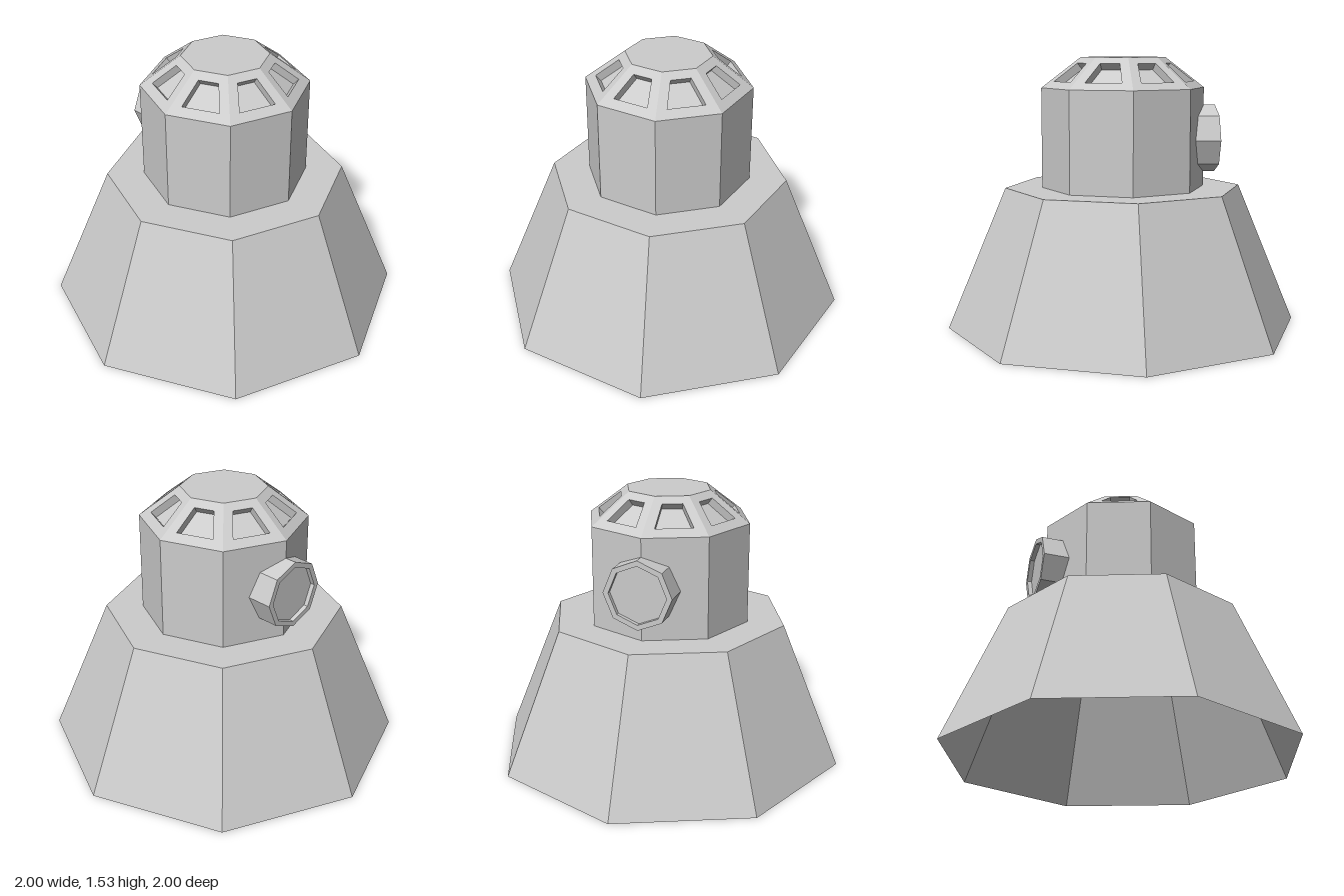
import * as THREE from 'three';

const SIDES = 8;
const material = new THREE.MeshStandardMaterial({ color: 0xcccccc, flatShading: true, side: THREE.DoubleSide });

function addMesh(parent, name, geometry) {
  const mesh = new THREE.Mesh(geometry, material);
  mesh.name = name;
  parent.add(mesh);
  return mesh;
}

// Eight-sided shell from [radius, height] pairs listed upwards
function octagonShell(profile) {
  return new THREE.LatheGeometry(profile.map(([r, y]) => new THREE.Vector2(r, y)), SIDES);
}

// Geometry from quads, each with corners counter-clockwise from its front
function quadGeometry(quads) {
  const points = quads.flatMap(([a, b, c, d]) => [a, b, c, a, c, d]);
  const geometry = new THREE.BufferGeometry().setFromPoints(points);
  geometry.computeVertexNormals();
  return geometry;
}

// One sloping roof panel facing +z, with a recessed window
function roofPanel() {
  const low = { r: 0.46, y: 1.36 }, high = { r: 0.238, y: 1.53 };
  const half = Math.PI / SIDES;
  const depth = 0.045;
  const inward = new THREE.Vector3(0, -0.766, -0.643).multiplyScalar(depth);
  // Point on the panel plane at a given height
  const at = (x, y) => {
    const t = (y - low.y) / (high.y - low.y);
    return new THREE.Vector3(x, y, THREE.MathUtils.lerp(low.r, high.r, t) * Math.cos(half));
  };
  const trapezoid = (x0, y0, x1, y1) => [at(-x0, y0), at(x0, y0), at(x1, y1), at(-x1, y1)];
  const outer = trapezoid(low.r * Math.sin(half), low.y, high.r * Math.sin(half), high.y);
  const opening = trapezoid(0.102, 1.397, 0.055, 1.497);
  const pane = opening.map((p) => p.clone().add(inward));
  const quads = [pane];
  for (let i = 0; i < 4; i++) {
    const j = (i + 1) % 4;
    quads.push([outer[i], outer[j], opening[j], opening[i]]); // frame
    quads.push([opening[i], opening[j], pane[j], pane[i]]); // recess wall
  }
  return quadGeometry(quads);
}

export function createModel() {
  const model = new THREE.Group();
  model.name = 'tower';

  // Hollow tapered base with a flat ledge around the turret
  addMesh(model, 'base', octagonShell([[1, 0], [0.667, 0.8], [0.46, 0.8]]));

  // Straight turret walls
  addMesh(model, 'turretWalls', octagonShell([[0.46, 0.8], [0.46, 1.36]]));

  // Roof: eight windowed panels and a flat cap
  const roof = new THREE.Group();
  roof.name = 'roof';
  model.add(roof);
  const panel = roofPanel();
  for (let i = 0; i < SIDES; i++) {
    addMesh(roof, 'windowPanel', panel).rotation.y = ((i + 0.5) / SIDES) * Math.PI * 2;
  }
  addMesh(roof, 'roofCap', octagonShell([[0.238, 1.53], [0, 1.53]]));

  // Round port on the back with a raised rim
  const port = addMesh(model, 'backPort',
    octagonShell([[0.19, 0], [0.19, 0.145], [0.16, 0.145], [0.16, 0.12], [0, 0.12]]));
  port.rotation.x = -Math.PI / 2;
  port.position.set(0, 1.07, -0.38);

  return model;
}
